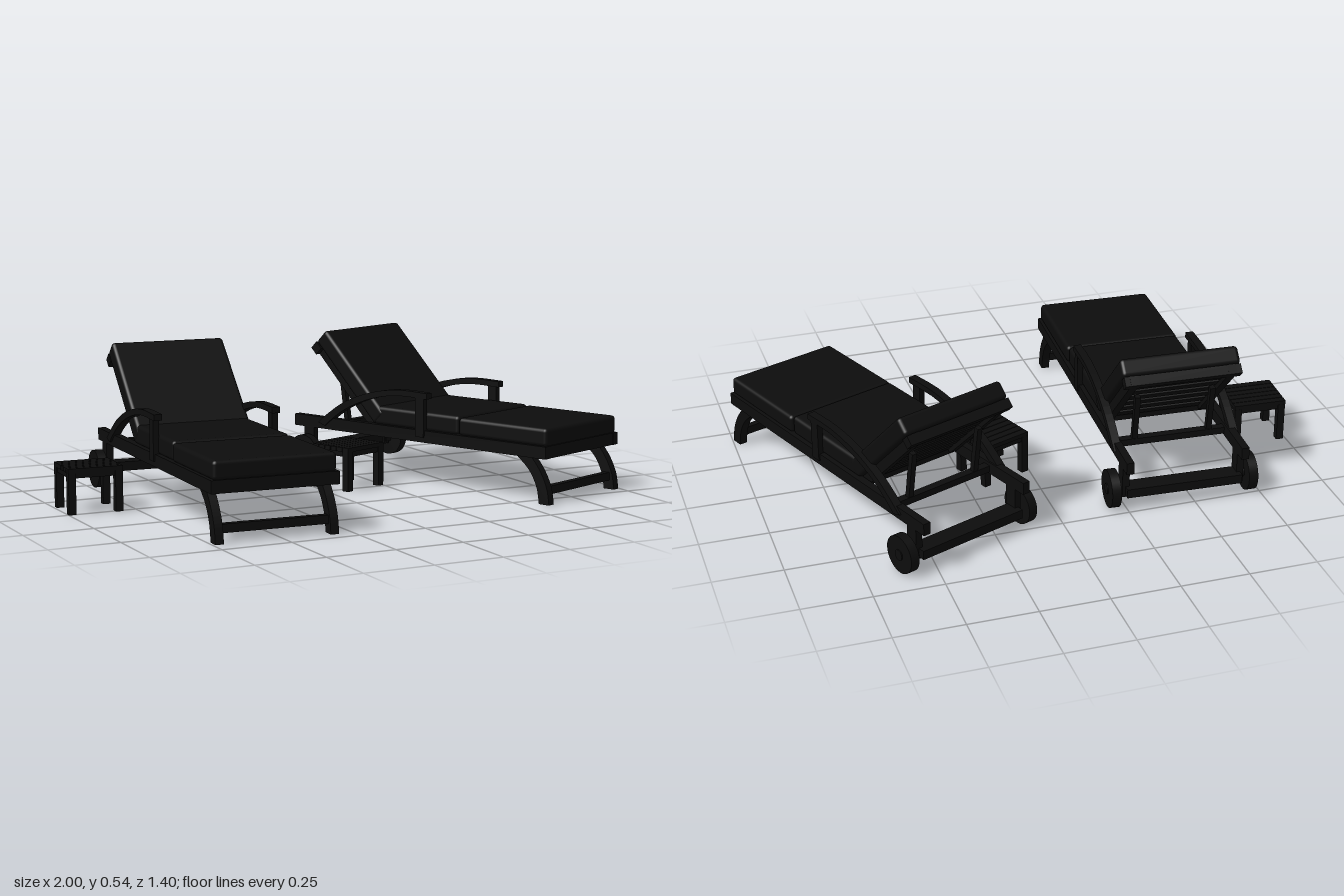
import * as THREE from 'three';
import { RoundedBoxGeometry } from 'three/addons/geometries/RoundedBoxGeometry.js';

const dark = new THREE.MeshStandardMaterial({ color: 0x0d0d0d });

function add(parent, name, geometry, x = 0, y = 0, z = 0) {
  const mesh = new THREE.Mesh(geometry, dark);
  mesh.name = name;
  mesh.position.set(x, y, z);
  parent.add(mesh);
  return mesh;
}

const box = (parent, name, w, h, d, x, y, z) =>
  add(parent, name, new THREE.BoxGeometry(w, h, d), x, y, z);

const cushion = (parent, name, w, h, d, x, y, z) =>
  add(parent, name, new RoundedBoxGeometry(w, h, d, 3, 0.014), x, y, z);

// Curved flat part: two edge curves given as [z, y], extruded along x
function curvedPart(parent, name, edgeA, edgeB, width, x) {
  const smooth = (pts) =>
    new THREE.SplineCurve(pts.map(([z, y]) => new THREE.Vector2(z, y))).getPoints(16);
  const shape = new THREE.Shape([...smooth(edgeA), ...smooth(edgeB).reverse()]);
  const geometry = new THREE.ExtrudeGeometry(shape, { depth: width, bevelEnabled: false });
  geometry.translate(0, 0, -width / 2).rotateY(-Math.PI / 2);
  return add(parent, name, geometry, x);
}

function createBackrest() {
  // Origin on the front surface at the hinge; y runs up the back, z points out of it
  const back = new THREE.Group();
  back.name = 'backrest';
  back.position.set(0, 0.28, -0.184);
  back.rotation.x = -Math.PI / 4;
  cushion(back, 'backCushion', 0.435, 0.42, 0.068, 0, 0.172, -0.034);
  for (const s of [-1, 1]) {
    box(back, 'backStile', 0.03, 0.42, 0.036, s * 0.18, 0.172, -0.086);
  }
  for (let i = 0; i < 7; i++) {
    box(back, 'backSlat', 0.34, 0.042, 0.018, 0, -0.015 + i * 0.0625, -0.08);
  }
  box(back, 'backTopRail', 0.43, 0.035, 0.036, 0, 0.364, -0.087);
  return back;
}

function createLounger() {
  const g = new THREE.Group();
  g.name = 'lounger';

  // Seat frame and slats
  box(g, 'footRail', 0.43, 0.045, 0.03, 0, 0.188, 0.585);
  box(g, 'hingeRail', 0.41, 0.035, 0.03, 0, 0.185, -0.2);
  box(g, 'propRail', 0.41, 0.025, 0.03, 0, 0.185, -0.4);
  for (let i = 0; i < 12; i++) {
    box(g, 'seatSlat', 0.41, 0.016, 0.061, 0, 0.2, 0.54 - i * 0.064);
  }

  // Cushions
  cushion(g, 'footCushion', 0.44, 0.066, 0.398, 0, 0.241, 0.401);
  cushion(g, 'seatCushion', 0.43, 0.07, 0.41, 0, 0.243, -0.005);
  g.add(createBackrest());

  for (const s of [-1, 1]) {
    box(g, 'sideRail', 0.028, 0.045, 1.205, s * 0.214, 0.188, 0);

    // Curved front legs
    curvedPart(g, 'frontLeg',
      [[0.616, 0], [0.605, 0.06], [0.575, 0.12], [0.53, 0.175]],
      [[0.572, 0], [0.56, 0.06], [0.525, 0.12], [0.46, 0.175]], 0.03, s * 0.205);

    // Armrest with its post
    curvedPart(g, 'armrest',
      [[0.065, 0.352], [-0.08, 0.353], [-0.22, 0.328], [-0.34, 0.282], [-0.42, 0.232], [-0.475, 0.19]],
      [[0.065, 0.33], [-0.08, 0.331], [-0.21, 0.306], [-0.325, 0.26], [-0.4, 0.212], [-0.44, 0.18]],
      0.03, s * 0.221);
    box(g, 'armPost', 0.022, 0.15, 0.04, s * 0.223, 0.26, 0.03);

    // Wheel, hub and hanger
    const wheel = new THREE.CylinderGeometry(0.07, 0.07, 0.034, 32).rotateZ(Math.PI / 2);
    add(g, 'wheel', wheel, s * 0.256, 0.07, -0.52);
    const hub = new THREE.CylinderGeometry(0.02, 0.02, 0.07, 16).rotateZ(Math.PI / 2);
    add(g, 'wheelHub', hub, s * 0.242, 0.07, -0.52);
    box(g, 'wheelHanger', 0.026, 0.125, 0.05, s * 0.214, 0.11, -0.53);

    // Strut holding up the backrest
    const strut = box(g, 'backStrut', 0.02, 0.21, 0.02, s * 0.14, 0.275, -0.415);
    strut.rotation.x = -0.15;
  }
  box(g, 'legStretcher', 0.4, 0.03, 0.025, 0, 0.048, 0.583);
  box(g, 'axleBoard', 0.43, 0.034, 0.068, 0, 0.072, -0.546);
  return g;
}

function createTable() {
  const g = new THREE.Group();
  g.name = 'sideTable';
  const w = 0.2, d = 0.176, slats = 6;
  for (let i = 0; i < slats; i++) {
    const step = d / slats;
    box(g, 'tableSlat', w, 0.016, step - 0.003, 0, 0.155, -d / 2 + step * (i + 0.5));
  }
  for (const s of [-1, 1]) {
    box(g, 'endApron', 0.018, 0.02, d - 0.03, s * (w / 2 - 0.015), 0.138, 0);
    box(g, 'sideApron', w - 0.03, 0.02, 0.018, 0, 0.138, s * (d / 2 - 0.015));
    for (const t of [-1, 1]) {
      box(g, 'tableLeg', 0.027, 0.148, 0.027, s * (w / 2 - 0.0145), 0.074, t * (d / 2 - 0.0145));
    }
  }
  return g;
}

export function createModel() {
  const model = new THREE.Group();
  model.name = 'loungerSet';
  const place = (part, x, z, turn) => {
    part.position.set(x, 0, z);
    part.rotation.y = turn;
    model.add(part);
  };
  place(createLounger(), -0.489, 0.074, -0.053);
  place(createLounger(), 0.565, -0.048, 0.375);
  place(createTable(), -0.896, -0.078, -0.053);
  place(createTable(), 0.128, -0.062, 0.365);
  return model;
}
